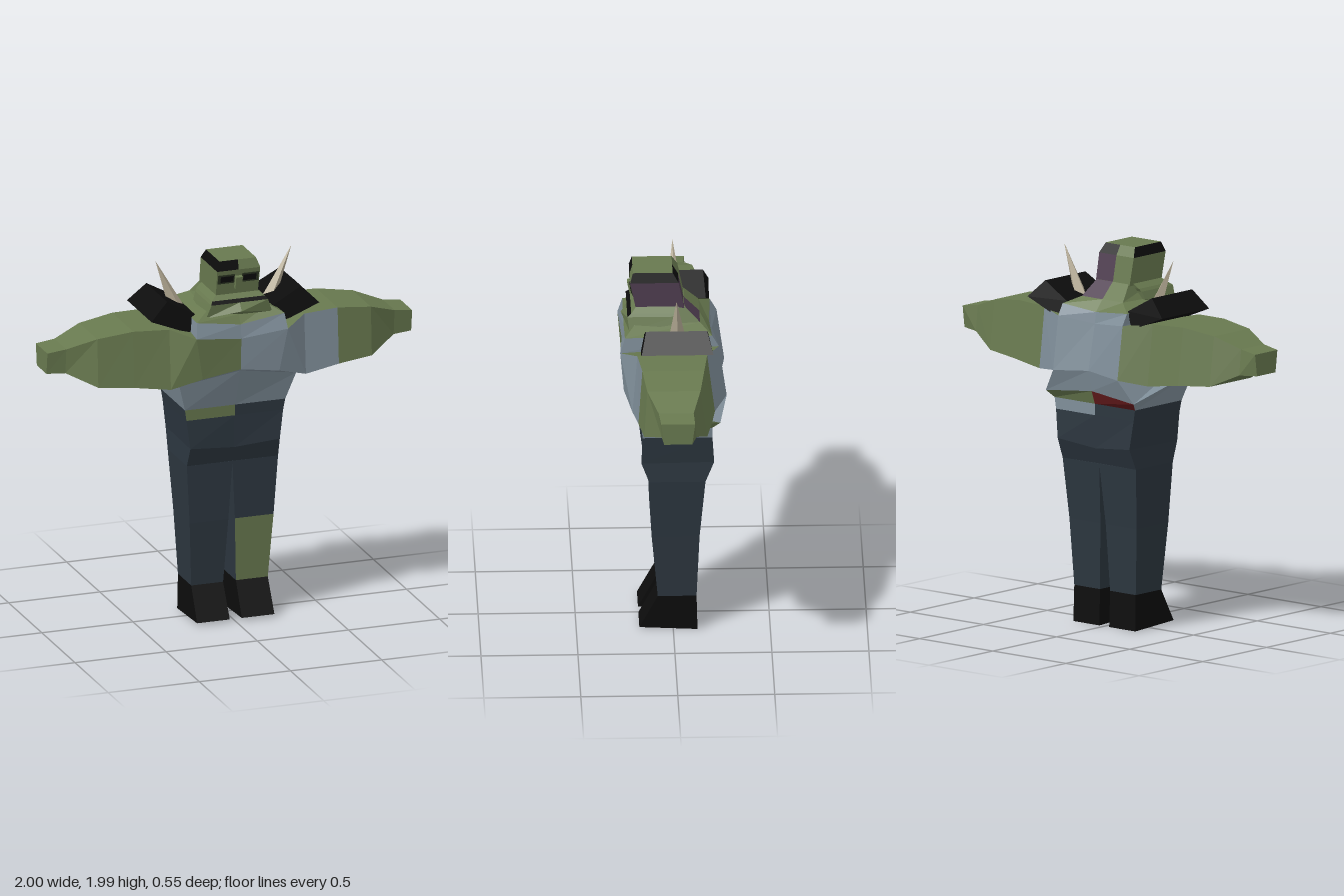
import * as THREE from 'three';

const palette = { green: 0x68794f, grey: 0x7f8e99, navy: 0x2c363f, black: 0x0c0c0c, purple: 0x4f3d50, bone: 0xb9af98, darkRed: 0x661a1c, shade: 0x2c3522 };
const keys = Object.keys(palette);

export function createModel() {
  const model = new THREE.Group();
  model.name = 'armouredFigure';
  const mats = keys.map((k) => {
    const m = new THREE.MeshStandardMaterial({ color: palette[k], flatShading: true });
    m.name = k;
    return m;
  });

  // Skins a stack of equal-length rings; colour(segment, side) picks a palette key.
  // Caps are segment -1 (start) and 'end'. flip mirrors the part to -x.
  function loft(name, rings, colour, flip = false) {
    const buckets = keys.map(() => []);
    const tri = (key, a, b, c) => {
      const pts = flip ? [a, c, b] : [a, b, c];
      for (const p of pts) buckets[keys.indexOf(key)].push(flip ? -p[0] : p[0], p[1], p[2]);
    };
    const n = rings[0].length;
    for (let i = 0; i + 1 < rings.length; i++) {
      const a = rings[i], b = rings[i + 1];
      for (let j = 0; j < n; j++) {
        const k = (j + 1) % n, key = colour(i, j);
        tri(key, a[j], a[k], b[k]);
        tri(key, a[j], b[k], b[j]);
      }
    }
    const first = rings[0], last = rings[rings.length - 1];
    for (let j = 1; j + 1 < n; j++) {
      tri(colour(-1, j), first[0], first[j + 1], first[j]);
      tri(colour('end', j), last[0], last[j], last[j + 1]);
    }
    const geo = new THREE.BufferGeometry();
    geo.setAttribute('position', new THREE.Float32BufferAttribute(buckets.flat(), 3));
    let start = 0;
    buckets.forEach((b, m) => {
      if (b.length) geo.addGroup(start, b.length / 3, m);
      start += b.length / 3;
    });
    geo.computeVertexNormals();
    const mesh = new THREE.Mesh(geo, mats);
    mesh.name = name;
    model.add(mesh);
    return mesh;
  }

  // Six-point ring, mirrored about x = 0: front centre, front corner, back corner, back centre.
  // Sides: 0 front right, 1 front left, 2 left, 3 back left, 4 back right, 5 right.
  const ring = ([fy, fz], F, B, [by, bz]) => [
    [-F[0], F[1], F[2]], [0, fy, fz], F, B, [0, by, bz], [-B[0], B[1], B[2]]];
  const level = (y, w, zf, zb) => ring([y, zf], [w, y, zf], [w, y, zb], [y, zb]);

  // Torso from hips to neck
  const chestLow = { F: [0.21, 1.37, 0.255], B: [0.22, 1.34, -0.275] };
  const chestHigh = { F: [0.25, 1.60, 0.275], B: [0.22, 1.62, -0.235] };
  const torsoColours = [
    ['navy', 'navy', 'navy', 'navy', 'navy', 'navy'],
    ['navy', 'navy', 'navy', 'navy', 'navy', 'navy'],
    ['green', 'navy', 'grey', 'grey', 'navy', 'navy'],
    ['grey', 'grey', 'green', 'green', 'darkRed', 'grey'],
    ['grey', 'grey', 'grey', 'grey', 'grey', 'grey'],
    ['green', 'grey', 'grey', 'grey', 'grey', 'green'],
    ['grey', 'grey', 'grey', 'grey', 'grey', 'grey'],
    ['green', 'green', 'green', 'green', 'green', 'green'],
    ['green', 'green', 'green', 'purple', 'green', 'green'],
  ];
  loft('torso', [
    ring([0.85, 0.12], [0.25, 0.86, 0.125], [0.25, 0.86, -0.165], [0.85, -0.155]),
    ring([0.945, 0.155], [0.245, 0.965, 0.165], [0.245, 0.97, -0.21], [0.945, -0.195]),
    level(1.12, 0.265, 0.16, -0.2),
    level(1.18, 0.275, 0.165, -0.2),
    ring([1.39, 0.24], [0.32, 1.33, 0.205], [0.3, 1.22, -0.24], [1.25, -0.225]),
    ring([1.40, 0.25], chestLow.F, chestLow.B, [1.36, -0.25]),
    ring([1.57, 0.26], chestHigh.F, chestHigh.B, [1.6, -0.2]),
    ring([1.645, 0.25], [0.24, 1.68, 0.25], [0.22, 1.68, -0.2], [1.66, -0.19]),
    ring([1.69, 0.22], [0.17, 1.72, 0.2], [0.14, 1.72, -0.14], [1.72, -0.14]),
    level(1.8, 0.11, 0.18, -0.06),
  ], (i, j) => (torsoColours[i] ? torsoColours[i][j] : i === -1 ? 'navy' : 'green'));

  // Jaw, with a dark mouth line
  loft('jaw', [
    ring([1.685, 0.21], [0.15, 1.7, 0.19], [0.14, 1.7, 0], [1.7, 0]),
    ring([1.72, 0.265], [0.18, 1.69, 0.225], [0.17, 1.72, 0], [1.72, 0]),
    level(1.76, 0.155, 0.235, -0.01),
    level(1.775, 0.145, 0.215, -0.02),
    level(1.8, 0.115, 0.19, -0.03),
  ], (i, j) => (i === 2 && j < 2 ? 'black' : 'green'));

  // Head with a half-painted cap edge
  const headColours = [
    ['green', 'green', 'purple', 'purple', 'green', 'green'],
    ['black', 'green', 'black', 'black', 'green', 'black'],
  ];
  loft('head', [
    level(1.79, 0.115, 0.19, -0.06),
    level(1.935, 0.118, 0.22, -0.03),
    level(1.985, 0.1, 0.205, 0),
  ], (i, j) => (headColours[i] ? headColours[i][j] : 'green'));

  // Face details lie on the tilted front of the head
  function facePiece(name, colour, w, h, d, x, y, lift) {
    const mesh = new THREE.Mesh(new THREE.BoxGeometry(w, h, d), mats[keys.indexOf(colour)]);
    mesh.name = name;
    mesh.position.set(x, y, 0.19 + (y - 1.79) * 0.207 + lift);
    mesh.rotation.x = 0.2;
    model.add(mesh);
  }
  for (const s of [1, -1]) {
    facePiece('eyeSocket', 'shade', 0.09, 0.05, 0.006, s * 0.066, 1.887, 0.001);
    facePiece('eye', 'black', 0.07, 0.032, 0.006, s * 0.062, 1.887, 0.004);
  }
  facePiece('nose', 'green', 0.036, 0.07, 0.03, 0, 1.865, 0.006);

  for (const flip of [false, true]) {
    const side = flip ? 'right' : 'left';

    // Arm: four-sided rings along x (front top, front bottom, back bottom, back top)
    const armRing = ([x, yt, yb, zft, zfb, zbb, zbt]) => [
      [x, yt, zft], [x, yb, zfb], [x, yb, zbb], [x, yt, zbt]];
    loft(side + 'Arm', [
      [chestHigh.F, chestLow.F, chestLow.B, chestHigh.B],
      ...[
        [0.37, 1.64, 1.32, 0.19, 0.215, -0.21, -0.17],
        [0.56, 1.645, 1.345, 0.17, 0.19, -0.19, -0.15],
        [0.75, 1.62, 1.36, 0.15, 0.165, -0.16, -0.125],
        [0.9, 1.565, 1.43, 0.095, 0.08, -0.1, -0.085],
        [1.0, 1.55, 1.435, 0.085, 0.07, -0.075, -0.09],
      ].map(armRing),
    ], (i, j) => {
      if (flip) return 'green';
      return (i === 0 && j < 3) || (i === 1 && j === 0) ? 'grey' : 'green';
    }, flip);

    // Leg and boot: rings of inner/outer x and front/back z
    const legRing = (x0, x1, yf, yb, zf, zb) => [
      [x0, yf, zf], [x1, yf, zf], [x1, yb, zb], [x0, yb, zb]];
    const ankle = legRing(0.035, 0.21, 0.19, 0.19, 0.08, -0.12);
    loft(side + 'Leg', [
      ankle,
      legRing(0.018, 0.23, 0.54, 0.54, 0.112, -0.135),
      legRing(0, 0.25, 0.86, 0.86, 0.125, -0.165),
    ], (i, j) => (!flip && i === 0 && j === 0 ? 'green' : 'navy'), flip);
    loft(side + 'Boot', [legRing(0.033, 0.212, 0.015, 0, 0.175, -0.125), ankle], () => 'black', flip);

    // Tilted shoulder pad
    loft(side + 'ShoulderPad', [
      [[0.25, 1.6, 0.17], [0.46, 1.685, 0.17], [0.46, 1.685, -0.2], [0.25, 1.6, -0.2]],
      [[0.21, 1.69, 0.15], [0.365, 1.777, 0.145], [0.365, 1.777, -0.17], [0.21, 1.69, -0.18]],
    ], () => 'black', flip);

    // Spike on the pad
    const tip = [0.373, 1.95, -0.012];
    loft(side + 'Spike', [
      [[0.21, 1.68, -0.02], [0.255, 1.7, 0.022], [0.31, 1.73, -0.02], [0.255, 1.7, -0.06]],
      [tip, tip, tip, tip],
    ], () => 'bone', flip);
  }
  return model;
}
